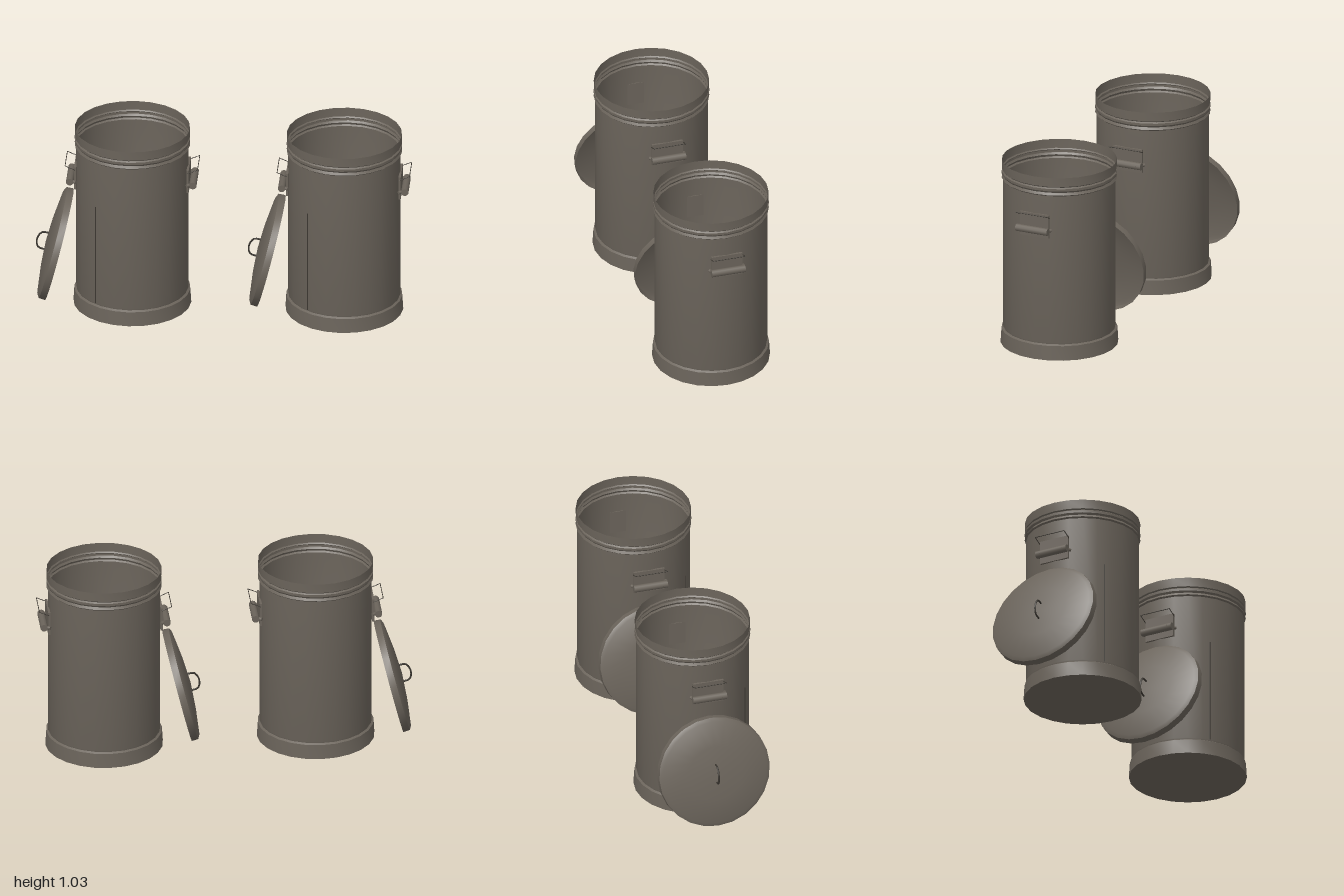
import * as THREE from 'three';
import { toCreasedNormals } from 'three/addons/utils/BufferGeometryUtils.js';

const metal = new THREE.MeshStandardMaterial({ color: 0x6b645b, side: THREE.DoubleSide });
metal.name = 'weathered metal';
const dark = new THREE.MeshStandardMaterial({ color: 0x3a3630 });
dark.name = 'dark wire';

const SIDES = 24;

function add(parent, name, geometry, material = metal) {
  const mesh = new THREE.Mesh(geometry, material);
  mesh.name = name;
  parent.add(mesh);
  return mesh;
}

function lathe(points) {
  const profile = points.map(([r, y]) => new THREE.Vector2(r, y));
  return toCreasedNormals(new THREE.LatheGeometry(profile, SIDES), 0.5);
}

// Thin round bar between two points
function bar(parent, name, a, b, radius, material = metal) {
  const from = new THREE.Vector3(...a);
  const dir = new THREE.Vector3(...b).sub(from);
  const mesh = add(parent, name, new THREE.CylinderGeometry(radius, radius, dir.length(), 10), material);
  mesh.position.copy(from).addScaledVector(dir, 0.5);
  mesh.quaternion.setFromUnitVectors(new THREE.Vector3(0, 1, 0), dir.normalize());
  return mesh;
}

// Side handle built on the +x wall
function makeHandle() {
  const handle = new THREE.Group();
  handle.name = 'sideHandle';
  const plate = add(handle, 'handlePlate', new THREE.BoxGeometry(0.012, 0.13, 0.17));
  plate.position.set(0.3, 0.755, 0);
  bar(handle, 'handleGrip', [0.328, 0.735, -0.093], [0.328, 0.735, 0.093], 0.02);
  for (const s of [-1, 1]) {
    bar(handle, 'gripBracket', [0.295, 0.735, s * 0.095], [0.343, 0.735, s * 0.06], 0.009);
    bar(handle, 'wireArm', [0.3, 0.805, s * 0.088], [0.353, 0.828, s * 0.088], 0.002, dark);
  }
  bar(handle, 'wireEnd', [0.353, 0.828, -0.088], [0.353, 0.828, 0.088], 0.002, dark);
  return handle;
}

// Domed lid leaning against the -x wall
function makeLid() {
  const lid = new THREE.Group();
  lid.name = 'lid';
  add(lid, 'lidShell', lathe([[0.307, 0], [0.305, 0.036], [0.285, 0.047], [0.15, 0.064], [0, 0.074]]));
  const loop = new THREE.CatmullRomCurve3([
    [-0.05, 0.06], [-0.045, 0.105], [0, 0.122], [0.045, 0.105], [0.05, 0.06],
  ].map(([x, y]) => new THREE.Vector3(x, y, 0)));
  add(lid, 'lidHandle', new THREE.TubeGeometry(loop, 12, 0.005, 6), dark);
  lid.position.set(-0.39, 0.318, 0);
  lid.rotation.z = 1.326;
  return lid;
}

function makeCan() {
  const can = new THREE.Group();
  can.name = 'trashCan';
  // Floor, base band, wall, ridges and rim in one open shell
  add(can, 'canShell', lathe([
    [0, 0], [0.314, 0], [0.309, 0.08], [0.298, 0.087], [0.3, 0.095], [0.3, 0.925],
    [0.308, 0.932], [0.301, 0.945], [0.308, 0.955], [0.308, 0.968], [0.3, 0.974],
    [0.306, 0.98], [0.307, 1.03],
  ]));
  // Vertical sheet seam
  const seam = add(can, 'wallSeam', new THREE.BoxGeometry(0.004, 0.57, 0.004), dark);
  seam.position.set(-0.18, 0.38, 0.238);
  // Handles on both sides
  for (const angle of [0, Math.PI]) {
    const handle = makeHandle();
    handle.rotation.y = angle;
    can.add(handle);
  }
  can.add(makeLid());
  return can;
}

export function createModel() {
  const model = new THREE.Group();
  model.name = 'trashCanPair';
  for (const x of [-0.485, 0.645]) {
    const can = makeCan();
    can.position.x = x;
    model.add(can);
  }
  return model;
}
